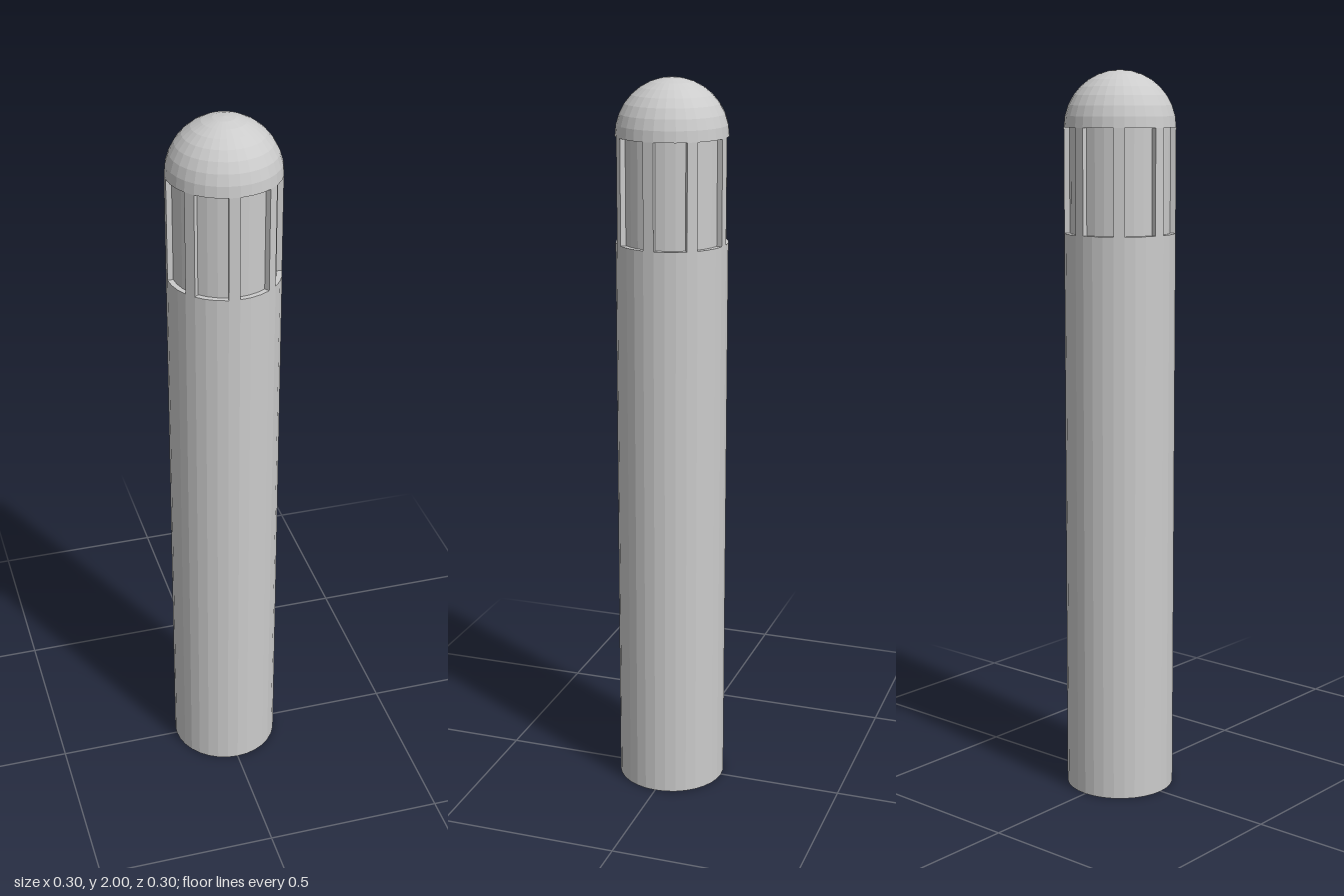
import * as THREE from 'three';

const R = 0.151;          // outer radius
const CORE = 0.136;       // radius of the recessed lamp core
const SIDES = 32;
const SILL = 1.567;       // top of the column
const HEAD = 2 - R;       // base of the dome

export function createModel() {
  const group = new THREE.Group();
  const material = new THREE.MeshStandardMaterial({ color: 0xcccccc, flatShading: true });

  const add = (name, geometry) => {
    const mesh = new THREE.Mesh(geometry, material);
    mesh.name = name;
    group.add(mesh);
    return mesh;
  };

  // Column with closed ends
  add('column', new THREE.CylinderGeometry(R, R, SILL, SIDES).translate(0, SILL / 2, 0));

  // Recessed core behind the ribs
  const headHeight = HEAD - SILL;
  add('lampCore', new THREE.CylinderGeometry(CORE, CORE, headHeight, SIDES, 1, true)
    .translate(0, SILL + headHeight / 2, 0));

  // Hemispherical cap with a flat underside
  const profile = [new THREE.Vector2(0, HEAD)];
  for (let i = 0; i <= 8; i++) {
    const a = (i / 8) * Math.PI / 2;
    profile.push(new THREE.Vector2(i === 8 ? 0 : R * Math.cos(a), HEAD + R * Math.sin(a)));
  }
  add('domeCap', new THREE.LatheGeometry(profile, SIDES));

  // Eight upright ribs, each one facet wide
  const step = (Math.PI * 2) / SIDES;
  const corner = (r, a) => new THREE.Vector2(r * Math.sin(a), -r * Math.cos(a));
  const ribShape = new THREE.Shape([
    corner(CORE - 0.004, -step), corner(R, -step), corner(R, 0), corner(CORE - 0.004, 0),
  ]);
  const ribGeometry = new THREE.ExtrudeGeometry(ribShape, { depth: headHeight, bevelEnabled: false })
    .rotateX(-Math.PI / 2)
    .translate(0, SILL, 0);
  for (let i = 0; i < 8; i++) {
    add(`rib${i + 1}`, ribGeometry).rotation.y = (i * Math.PI) / 4;
  }

  return group;
}
